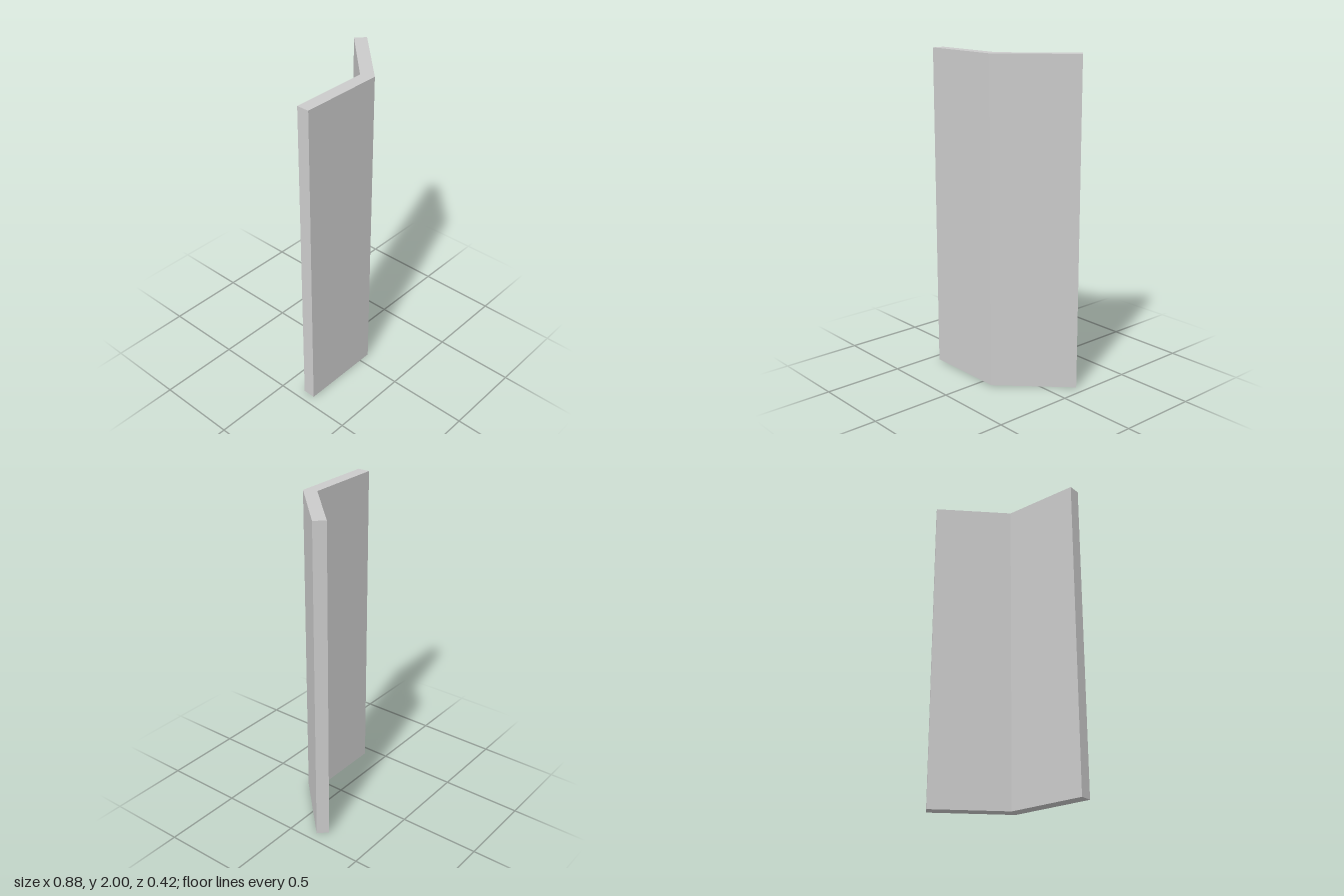
import * as THREE from 'three';

export function createModel() {
  const group = new THREE.Group();
  group.name = 'angledPanel';

  // Floor plan of the bent panel as [x, z], counter-clockwise seen from above
  const plan = [
    [-0.441, 0.21], [0.076, 0.21], [0.441, -0.156],
    [0.387, -0.21], [0.044, 0.133], [-0.441, 0.133],
  ];
  const shape = new THREE.Shape(plan.map(([x, z]) => new THREE.Vector2(x, -z)));

  // Raise the plan to full height
  const geometry = new THREE.ExtrudeGeometry(shape, { depth: 2, bevelEnabled: false });
  geometry.rotateX(-Math.PI / 2);

  const panel = new THREE.Mesh(
    geometry,
    new THREE.MeshStandardMaterial({ color: 0xcccccc, flatShading: true })
  );
  panel.name = 'bentPanel';
  group.add(panel);
  return group;
}
